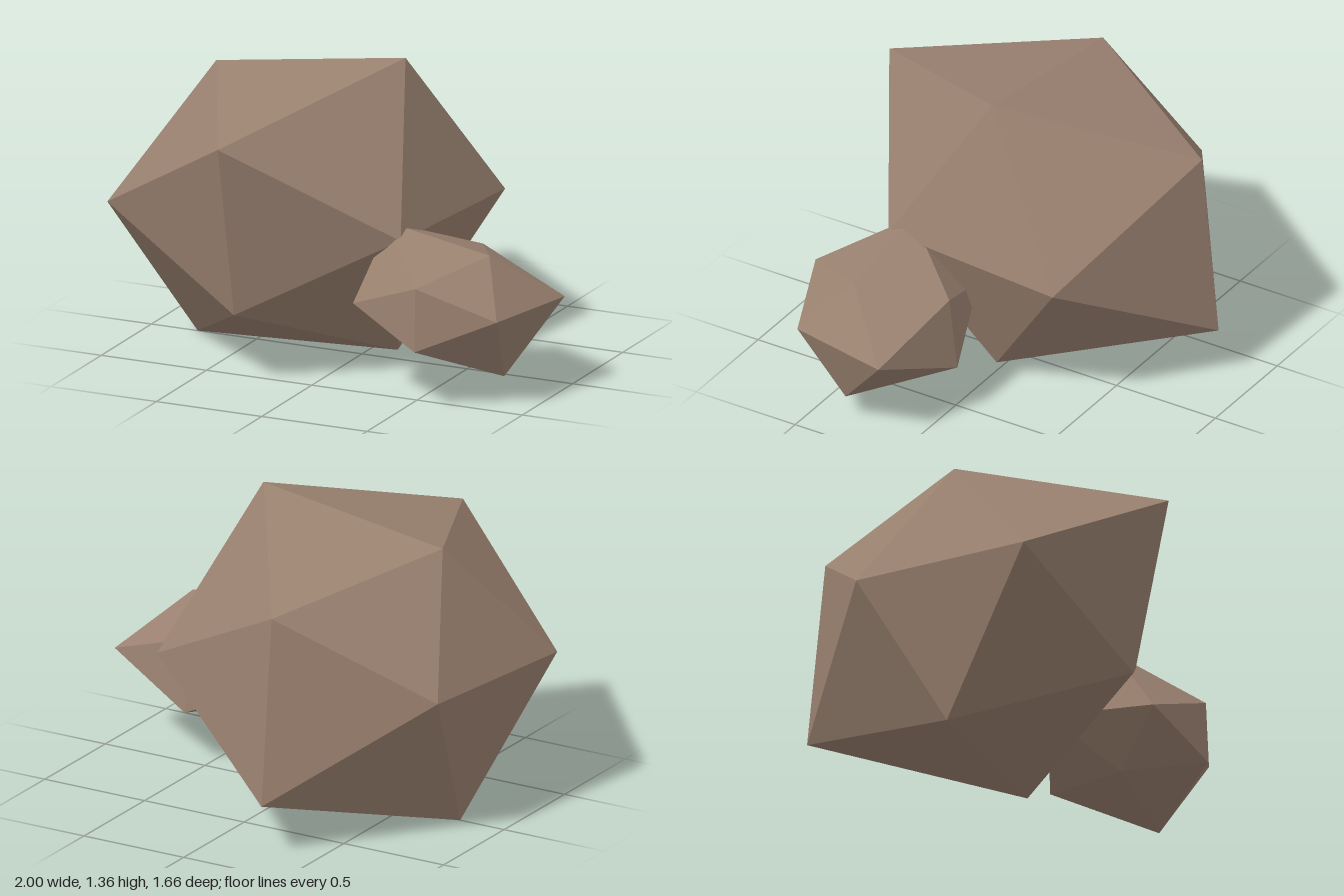
import * as THREE from 'three';

const T = (1 + Math.sqrt(5)) / 2;

// The twelve icosahedron corners, in the order the reach lists use
const CORNERS = [
  [-1, T, 0], [1, T, 0], [-1, -T, 0], [1, -T, 0],
  [0, -1, T], [0, 1, T], [0, -1, -T], [0, 1, -T],
  [T, 0, -1], [T, 0, 1], [-T, 0, -1], [-T, 0, 1],
].map((c) => new THREE.Vector3(...c));

// A rough stone: an icosahedron with each corner pushed out by its own reach, then squashed in y
function makeRock(name, reach, squash, center, material) {
  const geometry = new THREE.IcosahedronGeometry(CORNERS[0].length(), 0);
  const position = geometry.attributes.position;
  const v = new THREE.Vector3();
  for (let i = 0; i < position.count; i++) {
    v.fromBufferAttribute(position, i);
    const k = CORNERS.findIndex((c) => c.distanceTo(v) < 0.01);
    v.copy(CORNERS[k]).multiplyScalar(reach[k]);
    position.setXYZ(i, v.x, v.y * squash, v.z);
  }
  geometry.computeVertexNormals(); // unshared corners keep the facets flat
  const rock = new THREE.Mesh(geometry, material);
  rock.name = name;
  rock.position.set(...center);
  return rock;
}

export function createModel() {
  const group = new THREE.Group();
  group.name = 'rocks';

  const stone = new THREE.MeshStandardMaterial({ color: 0x9a8170 });
  stone.name = 'brown stone';

  // Large boulder
  group.add(makeRock('largeRock',
    [0.402, 0.497, 0.49, 0.46, 0.413, 0.513, 0.516, 0.464, 0.463, 0.415, 0.373, 0.439],
    0.85, [-0.29, 0.674, 0], stone));

  // Small stone leaning into its side
  group.add(makeRock('smallRock',
    [0.275, 0.2, 0.185, 0.27, 0.204, 0.198, 0.245, 0.22, 0.266, 0.205, 0.25, 0.214],
    0.7, [0.57, 0.415, 0.345], stone));

  return group;
}
